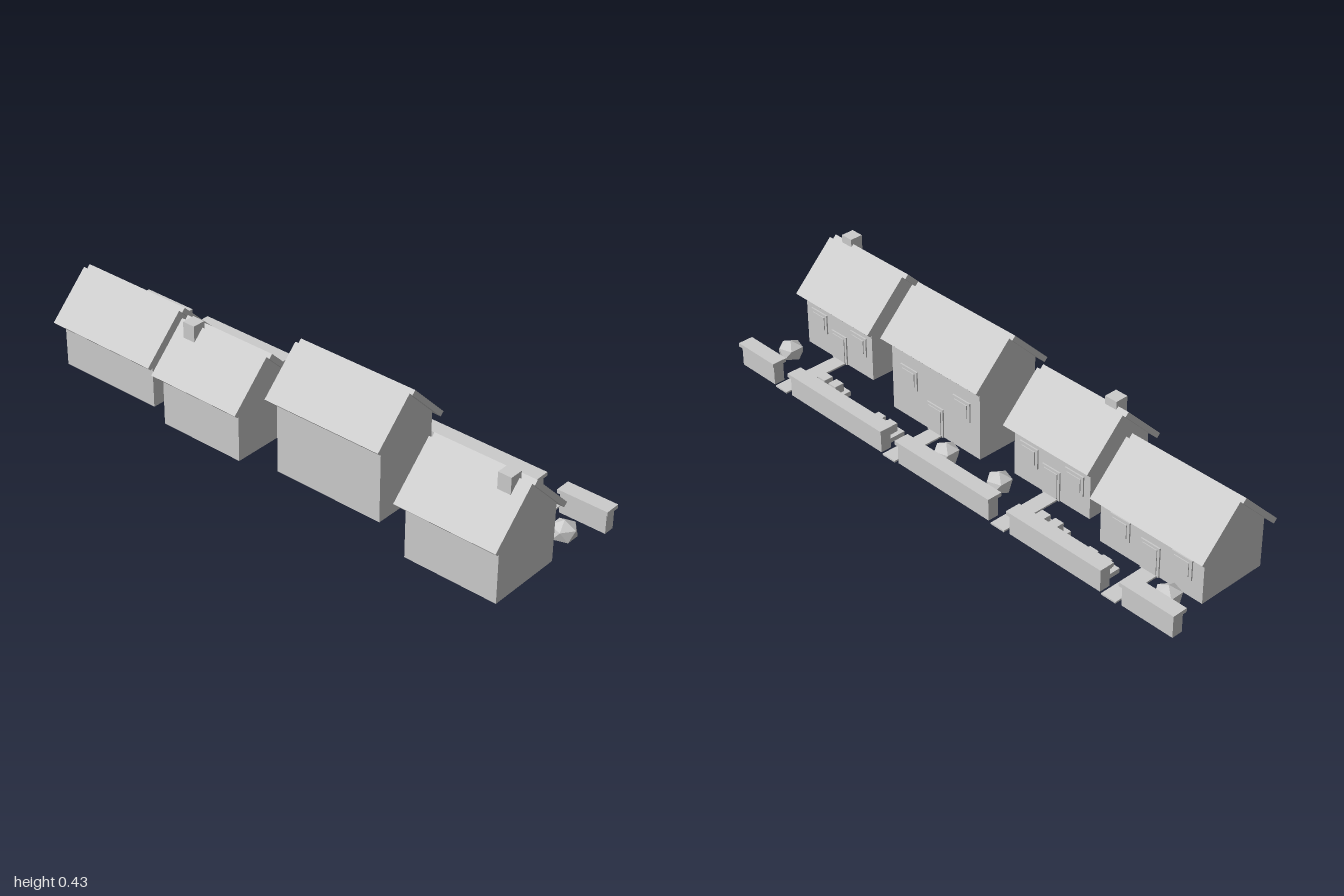
import * as THREE from 'three';

const GROUND = 0.008;
const stone = new THREE.MeshStandardMaterial({ color: 0xcccccc });
stone.name = 'light grey';

function add(parent, name, geometry) {
  const mesh = new THREE.Mesh(geometry, stone);
  mesh.name = name;
  parent.add(mesh);
  return mesh;
}

// Box given by its limits on each axis
function box(parent, name, [x0, x1], [y0, y1], [z0, z1]) {
  const g = new THREE.BoxGeometry(x1 - x0, y1 - y0, z1 - z0);
  g.translate((x0 + x1) / 2, (y0 + y1) / 2, (z0 + z1) / 2);
  return add(parent, name, g);
}

const around = (c, size) => [c - size / 2, c + size / 2];

// Prism along z from an outline in x and y
function prism(parent, name, points, [z0, z1]) {
  const shape = new THREE.Shape(points.map(([x, y]) => new THREE.Vector2(x, y)));
  const g = new THREE.ExtrudeGeometry(shape, { depth: z1 - z0, bevelEnabled: false });
  g.translate(0, 0, z0);
  return add(parent, name, g);
}

// Raised surround and panel on the +x wall
function opening(parent, name, wall, y, z, border, sill) {
  const [y0, y1] = y, [z0, z1] = z;
  box(parent, name + 'Frame', [wall - 0.004, wall + 0.005], y, z);
  box(parent, name + 'Panel', [wall, wall + 0.008], [y0 + sill, y1 - border], [z0 + border, z1 - border]);
}

// x: ridge position, half: wall half width, top: roof peak, body and roof: z limits
const houses = [
  { x: -0.115, half: 0.138, top: 0.37, body: [0.612, 0.953], roof: [0.592, 0.966], sill: 0.087,
    chimney: 0.897, bush: [0.135, 0.913], bed: [0.172, 0.656] },
  { x: -0.044, half: 0.122, top: 0.428, body: [0.025, 0.443], roof: [0.005, 0.46], sill: 0.13,
    bush: [0.161, 0.094], bed: [0.197, 0.356] },
  { x: -0.077, half: 0.127, top: 0.35, body: [-0.437, -0.105], roof: [-0.455, -0.087], sill: 0.08,
    chimney: -0.388, bush: [0.148, -0.137], bed: [0.184, -0.394] },
  { x: -0.025, half: 0.13, top: 0.33, body: [-0.95, -0.535], roof: [-0.97, -0.52], sill: 0.07,
    chimney: null, bush: [0.177, -0.88], bed: [0.207, -0.62] },
];

function buildHouse(h) {
  const house = new THREE.Group();
  house.name = 'house';
  const { x, half, top, body } = h;
  const t = 0.013, apex = top - t, eave = apex - half, wall = x + half;
  const mid = (body[0] + body[1]) / 2, length = body[1] - body[0];

  // Walls with gables
  prism(house, 'walls', [
    [x - half, GROUND], [wall, GROUND], [wall, eave], [x, apex], [x - half, eave],
  ], body);

  // Two roof slabs meeting at their lower edges, leaving a notch along the ridge
  const reach = half + 0.035 - t;
  for (const s of [-1, 1]) {
    const outline = [
      [x, apex], [x + s * reach, apex - reach],
      [x + s * (reach + t), apex - reach + t], [x + s * t, top],
    ];
    prism(house, s < 0 ? 'backRoofSlab' : 'frontRoofSlab', outline, h.roof);
  }

  if (h.chimney) {
    box(house, 'chimney', around(x - 0.028, 0.048), [top - 0.09, top + 0.02], around(h.chimney, 0.048));
  }

  // Door between two windows
  opening(house, 'door', wall, [GROUND, 0.117], around(mid, 0.076), 0.009, 0);
  for (const s of [-1, 1]) {
    opening(house, 'window', wall, [h.sill, h.sill + 0.073], around(mid + s * 0.3 * length, 0.08), 0.011, 0.011);
  }
  return house;
}

function buildGarden(h) {
  const garden = new THREE.Group();
  garden.name = 'frontGarden';
  const mid = (h.body[0] + h.body[1]) / 2;
  box(garden, 'path', [h.x + h.half, 0.287], [GROUND, 0.014], around(mid - 0.003, 0.058));

  // Squat bush standing on one point
  const g = new THREE.IcosahedronGeometry(0.048, 0);
  g.rotateX(-Math.atan((1 + Math.sqrt(5)) / 2));
  g.scale(1, 0.82, 1);
  g.computeVertexNormals();
  add(garden, 'bush', g).position.set(h.bush[0], 0.0394, h.bush[1]);

  // Flower bed with two square plants
  const [bx, bz] = h.bed;
  box(garden, 'flowerBed', around(bx, 0.067), [GROUND, 0.025], around(bz, 0.125));
  for (const s of [-1, 1]) {
    box(garden, 'plant', around(bx, 0.036), [0.025, 0.056], around(bz + s * 0.028, 0.036));
  }
  return garden;
}

export function createModel() {
  const row = new THREE.Group();
  row.name = 'cottageRow';
  for (const h of houses) row.add(buildHouse(h), buildGarden(h));

  // Garden wall sections with overhanging caps, open at each path
  const sections = [[-1, -0.785], [-0.712, -0.313], [-0.235, 0.199], [0.267, 0.738], [0.815, 1]];
  for (const [z0, z1] of sections) {
    box(row, 'gardenWall', [0.24, 0.28], [GROUND, 0.081], [z0 + 0.007, z1 - 0.007]);
    box(row, 'wallCap', [0.232, 0.288], [0.081, 0.095], [z0, z1]);
  }
  return row;
}
